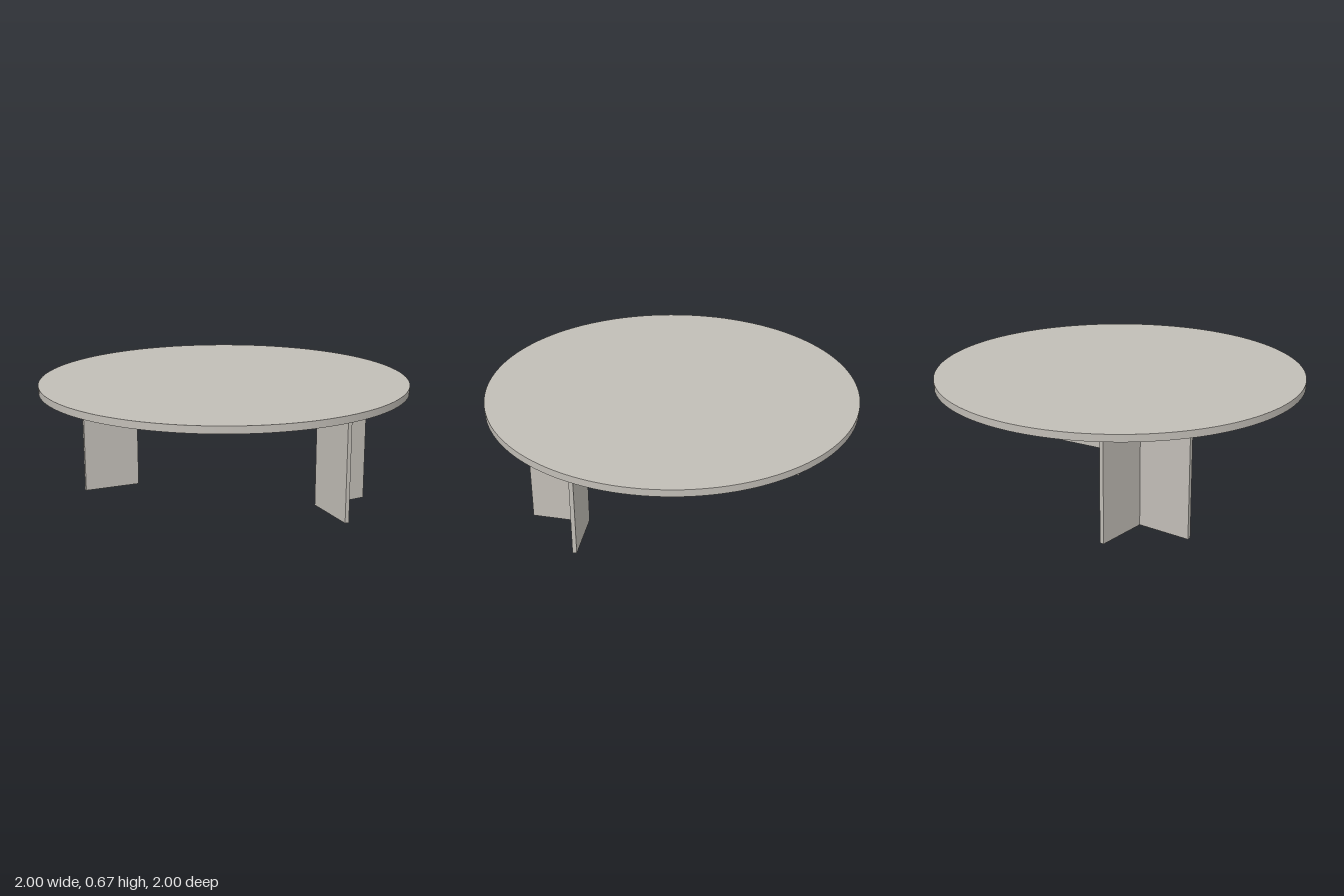
import * as THREE from 'three';

const TOP_Y = 0.665;
const LEG_HEIGHT = 0.627;

// V-shaped footprint of one leg as [x, z], point inwards, opening outwards
const LEG_PLAN = [
  [0.529, 0], [0.754, 0.219], [0.77, 0.203],
  [0.56, 0], [0.745, -0.22], [0.728, -0.235],
];

function makeLeg(name, side, material) {
  // Shape y becomes -z once the extrusion is stood upright
  const shape = new THREE.Shape(LEG_PLAN.map(([x, z]) => new THREE.Vector2(side * x, -z)));
  const geometry = new THREE.ExtrudeGeometry(shape, { depth: LEG_HEIGHT, bevelEnabled: false });
  geometry.rotateX(-Math.PI / 2);
  const leg = new THREE.Mesh(geometry, material);
  leg.name = name;
  return leg;
}

export function createModel() {
  const table = new THREE.Group();
  table.name = 'roundTable';

  const stone = new THREE.MeshStandardMaterial({ color: 0xc2beb7 });
  stone.name = 'warm grey stone';

  // Round slab
  const thickness = TOP_Y - LEG_HEIGHT;
  const top = new THREE.Mesh(new THREE.CylinderGeometry(1, 1, thickness, 128), stone);
  top.name = 'tableTop';
  top.position.y = LEG_HEIGHT + thickness / 2;
  table.add(top);

  // Mirrored pair of folded legs
  table.add(makeLeg('leftLeg', 1, stone), makeLeg('rightLeg', -1, stone));
  return table;
}
